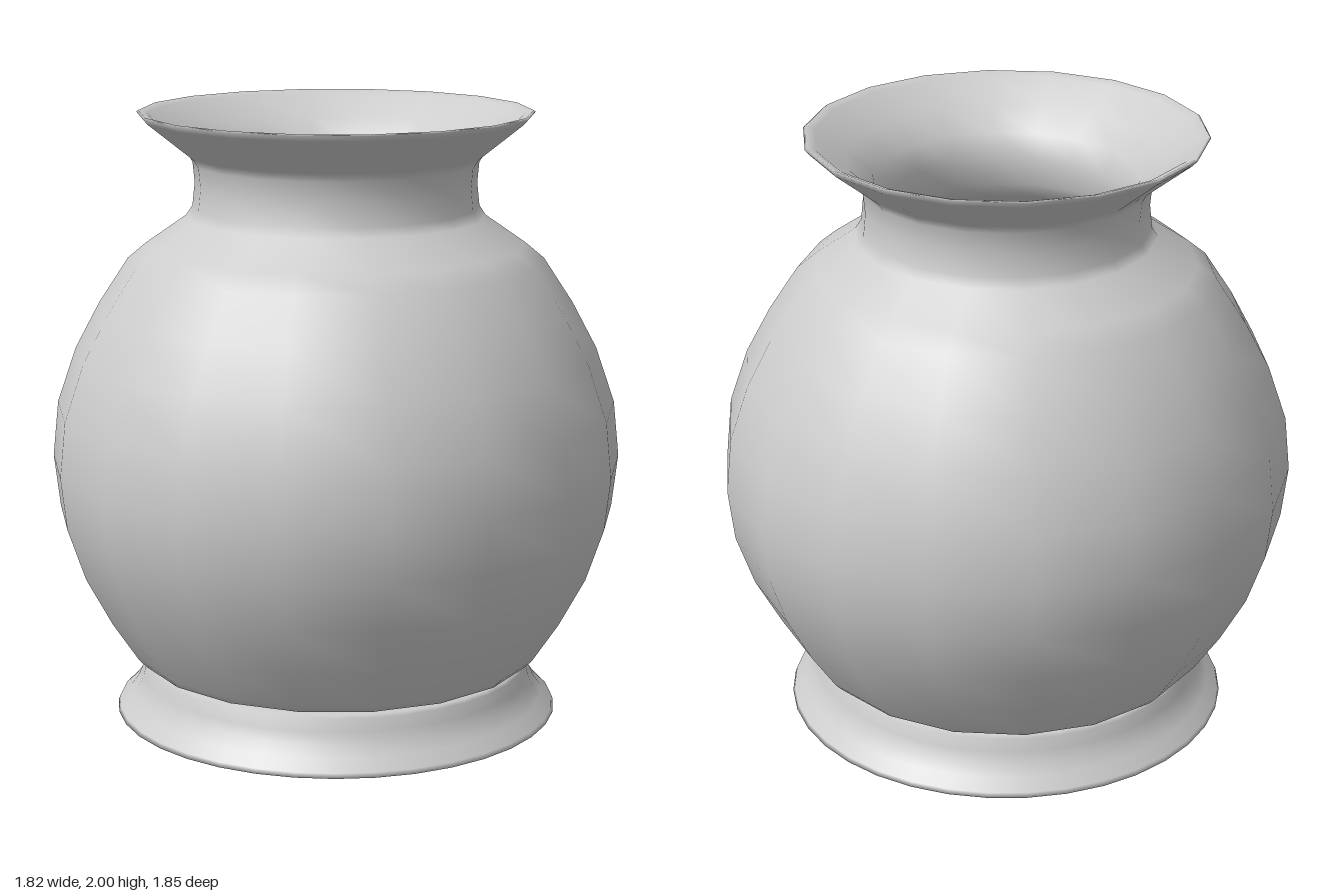
import * as THREE from 'three';

const material = new THREE.MeshStandardMaterial({ color: 0xcccccc });

// Spins a [radius, height] profile around the y axis
function turned(name, profile, segments) {
  const points = profile.map(([r, y]) => new THREE.Vector2(r, y));
  const mesh = new THREE.Mesh(new THREE.LatheGeometry(points, segments), material);
  mesh.name = name;
  return mesh;
}

export function createModel() {
  const group = new THREE.Group();
  group.name = 'vase';

  // Hollow body: underside, belly, neck, flared lip, then down the inner wall to the floor
  group.add(turned('body', [
    [0, 0.21], [0.63, 0.21], [0.655, 0.213], [0.68, 0.24],
    [0.765, 0.37], [0.85, 0.53], [0.907, 0.7], [0.926, 0.87], [0.907, 1.05],
    [0.845, 1.23], [0.765, 1.38], [0.67, 1.525], [0.61, 1.575],
    [0.48, 1.665], [0.46, 1.695], [0.452, 1.77], [0.458, 1.835], [0.475, 1.862],
    [0.62, 1.978], [0.635, 1.995], [0.628, 2],
    [0.6, 1.99], [0.5, 1.92], [0.42, 1.85], [0.39, 1.77], [0.4, 1.68], [0.43, 1.63],
    [0.58, 1.52], [0.71, 1.36], [0.79, 1.21], [0.85, 1.04], [0.865, 0.87],
    [0.85, 0.7], [0.79, 0.53], [0.7, 0.37], [0.64, 0.28], [0.61, 0.27], [0, 0.27],
  ], 18));

  // Separate flared foot with a slim gap below the body
  group.add(turned('foot', [
    [0, 0], [0.64, 0.008], [0.7, 0.014], [0.728, 0.025], [0.722, 0.04],
    [0.685, 0.075], [0.66, 0.11], [0.645, 0.145], [0.635, 0.185],
    [0.625, 0.195], [0.59, 0.2], [0, 0.2],
  ], 36));

  return group;
}
